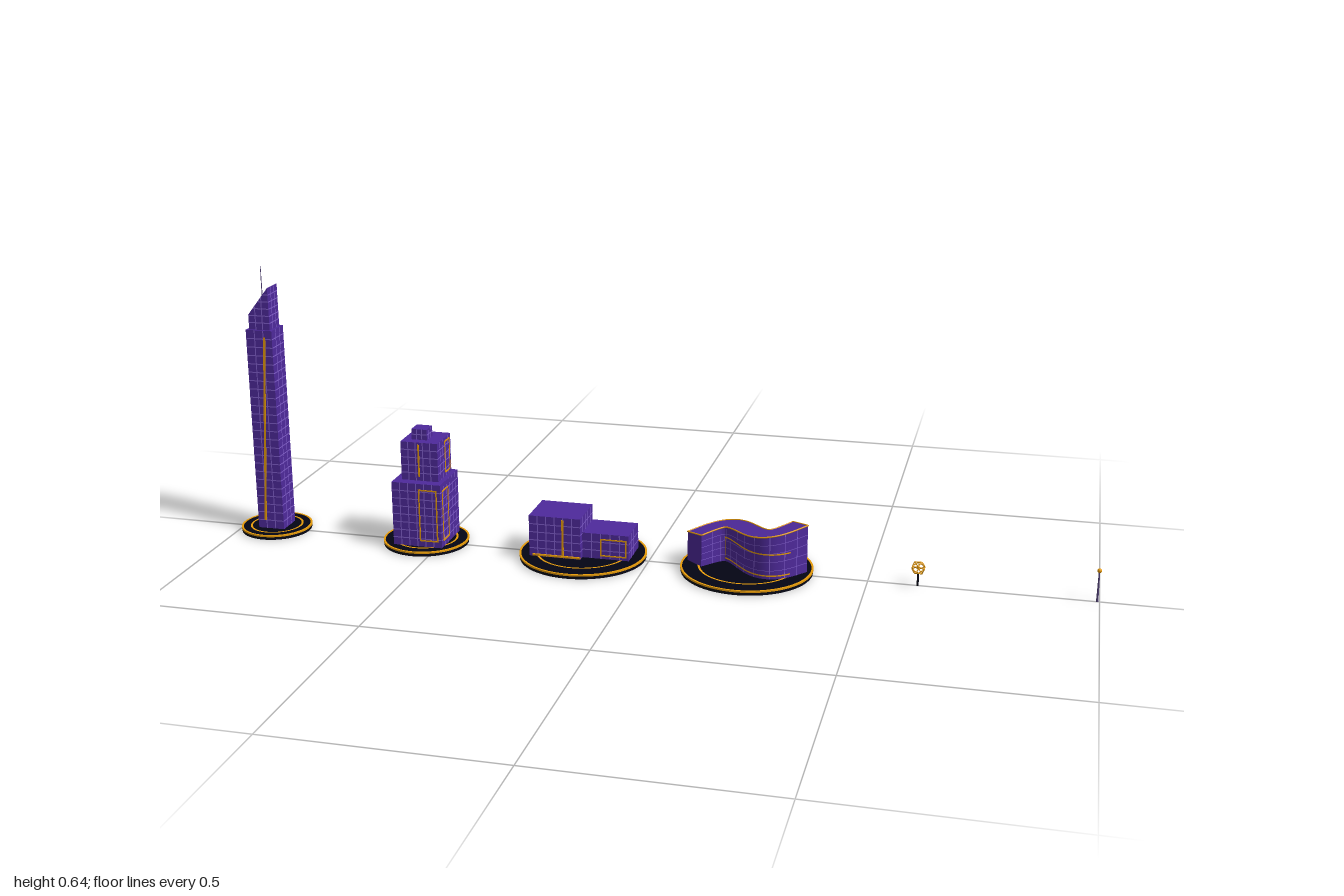
import * as THREE from 'three';
import { mergeGeometries, toCreasedNormals } from 'three/addons/utils/BufferGeometryUtils.js';

const mat = (name, color) => {
  const m = new THREE.MeshStandardMaterial({ color });
  m.name = name;
  return m;
};

export function createModel() {
  const wall = mat('purple wall', 0x4f2a9c);
  const line = mat('light purple grid', 0x8460d0);
  const gold = mat('gold trim', 0xeb9e0a);
  const dark = mat('dark base', 0x040514);
  const steel = mat('grey purple metal', 0x534378);
  const model = new THREE.Group();

  const add = (parent, name, geo, material) => {
    const m = new THREE.Mesh(geo, material);
    m.name = name;
    parent.add(m);
    return m;
  };
  const group = (name, x) => {
    const g = new THREE.Group();
    g.name = name;
    g.position.x = x;
    model.add(g);
    return g;
  };
  const box = (x0, x1, y0, y1, z0, z1) =>
    new THREE.BoxGeometry(x1 - x0, y1 - y0, z1 - z0)
      .translate((x0 + x1) / 2, (y0 + y1) / 2, (z0 + z1) / 2);
  const strip = (x0, x1, y0, y1) =>
    new THREE.PlaneGeometry(x1 - x0, y1 - y0).translate((x0 + x1) / 2, (y0 + y1) / 2, 0);

  // Round plinth with a gold rim and an inlaid ring
  const plinth = (g, r) => {
    add(g, 'plinth', new THREE.CylinderGeometry(r - 0.001, r - 0.001, 0.01, 64).translate(0, 0.005, 0), dark);
    const rim = [[r - 0.001, 0.0068], [r, 0.0068], [r, 0.0108], [r - 0.0045, 0.0108], [r - 0.0045, 0.0098]];
    add(g, 'plinthRim', toCreasedNormals(new THREE.LatheGeometry(rim.map(p => new THREE.Vector2(...p)), 64), 0.5), gold);
    add(g, 'plinthRing', new THREE.RingGeometry(r * 0.72 - 0.0025, r * 0.72 + 0.0025, 64).rotateX(-Math.PI / 2).translate(0, 0.0106, 0), gold);
  };

  // Window grid for one upright face, centred on x = 0 and standing on y = 0
  const e = 0.0004, t = 0.0012;
  const faceGrid = (w, h, step) => {
    const parts = [], nx = Math.max(2, Math.round(w / step)), ny = Math.max(2, Math.round(h / step));
    for (let i = 1; i < nx; i++) {
      const x = w * (i / nx - 0.5);
      parts.push(strip(x - t, x + t, 0, h));
    }
    for (let j = 1; j < ny; j++) parts.push(strip(-w / 2, w / 2, h * j / ny - t, h * j / ny + t));
    return mergeGeometries(parts);
  };
  // Rectangular block with the grid on all four sides
  const block = (g, name, x0, x1, y0, y1, z0, z1, step) => {
    add(g, name, box(x0, x1, y0, y1, z0, z1), wall);
    const w = x1 - x0, d = z1 - z0, sides = [];
    for (let i = 0; i < 4; i++) {
      const [across, out] = i % 2 ? [d, w] : [w, d];
      sides.push(faceGrid(across, y1 - y0, step).translate(0, 0, out / 2 + e).rotateY(i * Math.PI / 2));
    }
    add(g, name + 'Grid', mergeGeometries(sides).translate((x0 + x1) / 2, y0, (z0 + z1) / 2), line);
  };

  // Gold rectangle outlines on a front (z) or side (x) face
  const proud = 0.001;
  const frame = (g, face, at, a, b, y0, y1) => {
    const f = 0.0016;
    const bar = (u0, u1, v0, v1) => face === 'z'
      ? box(u0, u1, v0, v1, at, at + proud) : box(at, at + proud, v0, v1, u0, u1);
    add(g, 'goldFrame', mergeGeometries([
      bar(a - f, a + f, y0, y1), bar(b - f, b + f, y0, y1),
      bar(a - f, b + f, y0 - f, y0 + f), bar(a - f, b + f, y1 - f, y1 + f)]), gold);
  };

  // Tall tower with a slanted crown and mast
  const tower = group('tallTower', -0.917);
  plinth(tower, 0.083);
  block(tower, 'towerShaft', -0.032, 0.032, 0.01, 0.495, -0.031, 0.031, 0.0205);
  const c = 0.0255, lowY = 0.53, highY = 0.595, baseY = 0.495;
  const slopeX = y => Math.max(-c, -c + 2 * c * (y - lowY) / (highY - lowY));
  const slopeY = x => lowY + (highY - lowY) * (x + c) / (2 * c);
  const crown = new THREE.Shape([[-c, baseY], [c, baseY], [c, highY], [-c, lowY]].map(p => new THREE.Vector2(...p)));
  add(tower, 'slantedCrown', new THREE.ExtrudeGeometry(crown, { depth: 2 * c, bevelEnabled: false }).translate(0, 0, -c), wall);
  const crownLines = [
    faceGrid(2 * c, highY - baseY, 0.017).translate(0, baseY, c + e).rotateY(Math.PI / 2),
    faceGrid(2 * c, lowY - baseY, 0.017).translate(0, baseY, c + e).rotateY(-Math.PI / 2)];
  for (const s of [-1, 1]) {
    const face = [];
    for (let y = baseY + 0.0167; y < highY - 0.005; y += 0.0167) face.push([slopeX(y + t), c, y - t, y + t]);
    for (const u of [-c / 3, c / 3]) face.push([u - t, u + t, baseY, slopeY(u - t)]);
    for (const [x0, x1, y0, y1] of face) {
      const g = s > 0 ? strip(x0, x1, y0, y1) : strip(-x1, -x0, y0, y1).rotateY(Math.PI);
      crownLines.push(g.translate(0, 0, s * (c + e)));
    }
  }
  add(tower, 'crownGrid', mergeGeometries(crownLines), line);
  add(tower, 'mast', new THREE.CylinderGeometry(0.0008, 0.0012, 0.08, 8).translate(0, 0.6, 0), steel);
  const slash = add(tower, 'goldSlash', new THREE.BoxGeometry(0.005, 0.45, 0.003), gold);
  slash.position.set(0, 0.255, 0.031);
  slash.rotation.z = -0.06;

  // Stepped tower
  const stepped = group('steppedTower', -0.537);
  plinth(stepped, 0.1);
  block(stepped, 'lowerBlock', -0.058, 0.06, 0.01, 0.163, -0.06, 0.06, 0.02);
  block(stepped, 'middleBlock', -0.041, 0.048, 0.163, 0.255, -0.051, 0.037, 0.018);
  block(stepped, 'topBlock', -0.021, 0.016, 0.255, 0.28, -0.02, 0.016, 0.012);
  frame(stepped, 'z', 0.06, 0.008, 0.05, 0.025, 0.148);
  frame(stepped, 'x', 0.06, 0.01, 0.047, 0.025, 0.145);
  frame(stepped, 'x', 0.048, -0.042, -0.012, 0.172, 0.246);
  add(stepped, 'goldStripe', box(0, 0.004, 0.172, 0.25, 0.037, 0.037 + proud), gold);

  // Pair of low blocks
  const low = group('lowBlocks', -0.155);
  plinth(low, 0.147);
  block(low, 'tallerBlock', -0.113, 0.008, 0.01, 0.107, -0.053, 0.053, 0.02);
  block(low, 'shorterBlock', 0.008, 0.117, 0.01, 0.07, -0.053, 0.036, 0.02);
  add(low, 'goldStripe', box(-0.036, -0.031, 0.012, 0.102, 0.053, 0.053 + proud), gold);
  add(low, 'goldSill', box(-0.105, 0.008, 0.012, 0.016, 0.053, 0.057), gold);
  frame(low, 'z', 0.036, 0.052, 0.11, 0.018, 0.057);

  // Wavy building: a thick S-shaped band whose roof rises towards +x
  const wavy = group('wavyBuilding', 0.227);
  plinth(wavy, 0.15);
  const half = 0.025, len = 0.236, amp = 0.043, k = 29, N = 36;
  const roofY = x => 0.1 + 0.021 * x / 0.139;
  const at = (u, off) => {
    const x = (u - 0.5) * len, slope = amp * k * Math.cos(k * x), n = Math.hypot(1, slope);
    return [x - off * slope / n, amp * Math.sin(k * x) + off / n];
  };
  // Points along one side of the band; a start beyond the end walks it backwards
  const side = (u0, u1, off, n) => Array.from({ length: n + 1 }, (_, i) => at(u0 + (u1 - u0) * i / n, off));
  const outline = [...side(0, 1, half, N), ...side(1, 0, -half, N)];
  const band = new THREE.ExtrudeGeometry(
    new THREE.Shape(outline.map(([x, z]) => new THREE.Vector2(x, -z))),
    { depth: 1, bevelEnabled: false }).rotateX(-Math.PI / 2);
  const p = band.attributes.position;
  for (let i = 0; i < p.count; i++) p.setY(i, 0.01 + p.getY(i) * (roofY(p.getX(i)) - 0.01));
  add(wavy, 'wavyWalls', toCreasedNormals(band, 0.6), wall);
  const trim = new THREE.CatmullRomCurve3(outline.map(([x, z]) => new THREE.Vector3(x, roofY(x), z)), true, 'catmullrom', 0.1);
  add(wavy, 'roofTrim', new THREE.TubeGeometry(trim, 150, 0.0018, 6, true), gold);

  // Thin strip lying on the curved wall between two heights
  const wallStrip = (pts, lo, hi) => {
    const pos = [], index = [];
    pts.forEach(([x, z], i) => {
      pos.push(x, lo(x), z, x, hi(x), z);
      if (i) index.push(2 * i - 2, 2 * i, 2 * i - 1, 2 * i, 2 * i + 1, 2 * i - 1);
    });
    const g = new THREE.BufferGeometry();
    g.setAttribute('position', new THREE.Float32BufferAttribute(pos, 3));
    g.setIndex(index);
    g.computeVertexNormals();
    return g;
  };
  const wavyLines = [];
  for (const s of [-1, 1]) {
    const off = s * (half + 0.0005);
    for (let j = 1; j < 5; j++) {
      const y = x => 0.01 + (roofY(x) - 0.01) * j / 5;
      wavyLines.push(wallStrip(side(s < 0 ? 1 : 0, s < 0 ? 0 : 1, off, 72), x => y(x) - 0.0006, x => y(x) + 0.0006));
    }
    for (let i = 1; i < 12; i++)
      wavyLines.push(wallStrip(side(i / 12 - s * 0.002, i / 12 + s * 0.002, off, 1), () => 0.01, roofY));
  }
  add(wavy, 'wavyGrid', mergeGeometries(wavyLines), line);
  // Gold window outline following the front wall
  const goldStrip = (u0, u1, lo, hi) => wallStrip(side(u0, u1, half + 0.001, 48), () => lo, () => hi);
  add(wavy, 'windowOutline', mergeGeometries([
    goldStrip(0.3, 0.87, 0.0165, 0.0197), goldStrip(0.3, 0.87, 0.0665, 0.0697),
    goldStrip(0.3, 0.315, 0.0165, 0.0697)]), gold);

  // Small tree with an open lattice crown
  const tree = group('tree', 0.61);
  add(tree, 'trunk', new THREE.CylinderGeometry(0.0018, 0.0025, 0.028, 8).translate(0, 0.014, 0), dark);
  const edges = new THREE.EdgesGeometry(new THREE.IcosahedronGeometry(0.016, 0)).attributes.position;
  const struts = [];
  for (let i = 0; i < edges.count; i += 2) {
    const a = new THREE.Vector3().fromBufferAttribute(edges, i);
    const b = new THREE.Vector3().fromBufferAttribute(edges, i + 1);
    struts.push(new THREE.TubeGeometry(new THREE.LineCurve3(a, b), 1, 0.0011, 6));
  }
  add(tree, 'latticeCrown', mergeGeometries(struts).translate(0, 0.042, 0), gold);

  // Street lamp
  const lamp = group('streetLamp', 0.995);
  add(lamp, 'lampPost', new THREE.CylinderGeometry(0.0015, 0.0025, 0.07, 8).translate(0, 0.035, 0), steel);
  add(lamp, 'lampHead', new THREE.SphereGeometry(0.005, 12, 8).translate(0, 0.072, 0), gold);

  return model;
}
